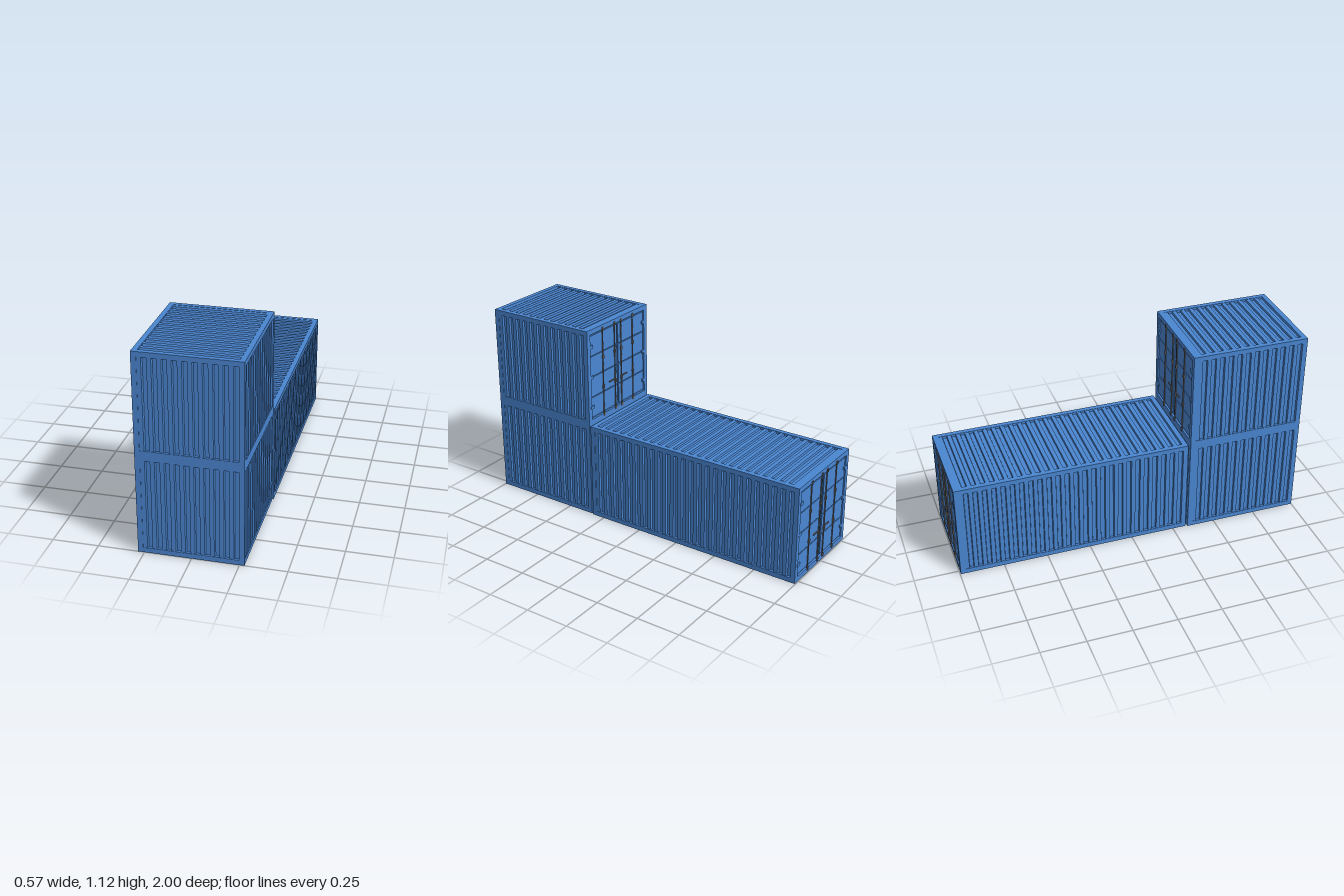
import * as THREE from 'three';

const W = 0.56, H = 0.56, BEAM = 0.028;
const blue = new THREE.MeshStandardMaterial({ color: 0x4a86d2 });
const steel = new THREE.MeshStandardMaterial({ color: 0x6e6a66 });

function add(parent, name, geometry, material = blue, x = 0, y = 0, z = 0) {
  const mesh = new THREE.Mesh(geometry, material);
  mesh.name = name;
  mesh.position.set(x, y, z);
  parent.add(mesh);
  return mesh;
}

const box = (parent, name, w, h, d, x, y, z, material = blue) =>
  add(parent, name, new THREE.BoxGeometry(w, h, d), material, x, y, z);

// Corrugated sheet: ribbed section (run wide, facing out) extruded along "along"
function corrugated(parent, name, run, length, out, along, center) {
  const n = Math.round(run / 0.051), p = run / n;
  const rib = -0.002, groove = -0.014, slope = 0.002;
  const shape = new THREE.Shape();
  shape.moveTo(-run / 2, -0.024);
  shape.lineTo(run / 2, -0.024);
  for (let i = n - 1; i >= 0; i--) {
    const u = -run / 2 + i * p;
    shape.lineTo(u + p, rib);
    shape.lineTo(u + p / 2 + slope, rib);
    shape.lineTo(u + p / 2 - slope, groove);
    shape.lineTo(u + slope, groove);
    shape.lineTo(u, rib);
  }
  const g = new THREE.ExtrudeGeometry(shape, { depth: length, bevelEnabled: false });
  g.translate(0, 0, -length / 2);
  const across = new THREE.Vector3().crossVectors(out, along);
  g.applyMatrix4(new THREE.Matrix4().makeBasis(across, out, along));
  add(parent, name, g, blue, ...center);
}

// Twin doors with stacked panels, locking rods and hinges, on the -z end
function doors(parent, back) {
  const group = new THREE.Group();
  group.name = 'doors';
  parent.add(group);
  const inner = W / 2 - BEAM;
  box(group, 'doorBacking', W - 2 * BEAM, H - 2 * BEAM, 0.01, 0, H / 2, back + 0.017);
  const rows = 4, rowH = (H - 2 * BEAM - 0.016) / rows;
  for (const s of [-1, 1]) {
    for (let r = 0; r < rows; r++) {
      const y = BEAM + 0.008 + (r + 0.5) * rowH;
      box(group, 'doorPanel', inner - 0.012, rowH - 0.005, 0.008, s * inner / 2, y, back + 0.009);
    }
    for (const x of [0.03, 0.14]) {
      add(group, 'lockingRod', new THREE.CylinderGeometry(0.0035, 0.0035, H - 0.03, 8),
        steel, s * x, H / 2, back + 0.0015);
      for (const y of [0.025, 0.19, 0.37, H - 0.025])
        box(group, 'rodBracket', 0.013, 0.02, 0.008, s * x, y, back, steel);
    }
    // handles reaching from the rods toward the outer edge
    box(group, 'handle', 0.06, 0.006, 0.005, s * 0.055, 0.2, back + 0.002, steel);
    for (const y of [0.1, 0.28, 0.46])
      box(group, 'hinge', 0.03, 0.018, 0.01, s * (inner - 0.006), y, back + 0.003);
  }
}

function container(name, length, x, y, z) {
  const c = new THREE.Group();
  c.name = name;
  c.position.set(x, y, z);
  const hw = W / 2 - BEAM / 2, hl = length / 2 - BEAM / 2;
  const X = new THREE.Vector3(1, 0, 0), Y = new THREE.Vector3(0, 1, 0), Z = new THREE.Vector3(0, 0, 1);

  // edge frame
  for (const s of [-1, 1]) {
    for (const t of [-1, 1]) {
      box(c, 'cornerPost', BEAM, H, BEAM, s * hw, H / 2, t * hl);
      const level = H / 2 + t * (H / 2 - BEAM / 2);
      box(c, 'sideRail', BEAM, BEAM, length - 2 * BEAM, s * hw, level, 0);
      box(c, 'endRail', W - 2 * BEAM, BEAM, BEAM, 0, level, s * hl);
    }
  }

  // corrugated walls and roof, plain floor
  const run = length - 2 * BEAM, tall = H - 2 * BEAM, wide = W - 2 * BEAM;
  for (const s of [-1, 1])
    corrugated(c, 'sideWall', run, tall, X.clone().multiplyScalar(s), Y, [s * W / 2, H / 2, 0]);
  corrugated(c, 'frontWall', wide, tall, Z, Y, [0, H / 2, length / 2]);
  corrugated(c, 'roof', run, wide, Y, X, [0, H, 0]);
  box(c, 'floor', wide, 0.016, run, 0, 0.016, 0);
  doors(c, -length / 2);
  return c;
}

export function createModel() {
  const model = new THREE.Group();
  model.name = 'cargoContainers';
  model.add(container('longContainer', 1.323, 0.002, 0, -0.3345));
  model.add(container('lowerShortContainer', 0.662, -0.004, 0, 0.669));
  model.add(container('upperShortContainer', 0.662, -0.004, H, 0.669));
  return model;
}
